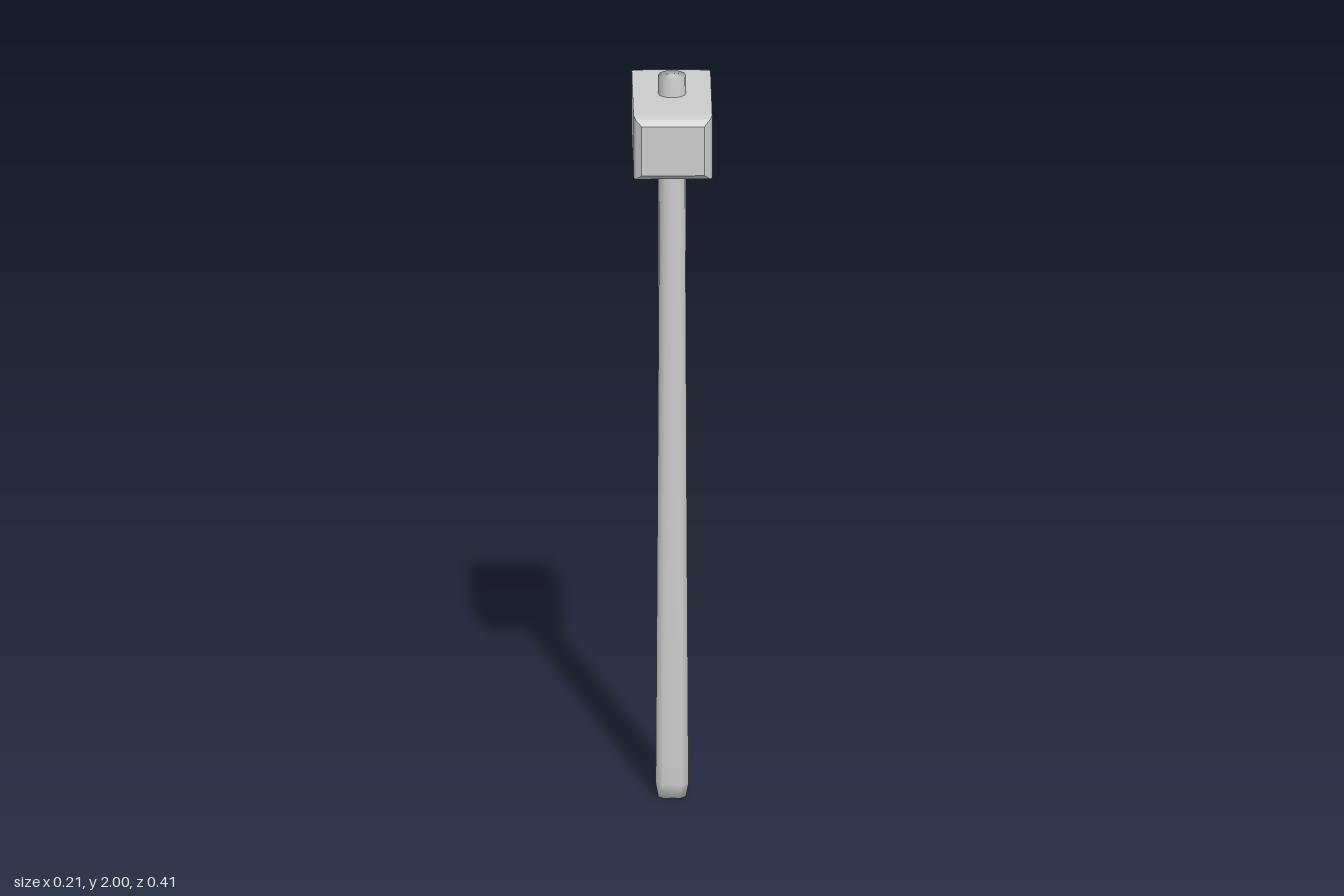
import * as THREE from 'three';
import { mergeVertices } from 'three/addons/utils/BufferGeometryUtils.js';

const grey = new THREE.MeshStandardMaterial({ color: 0xcccccc });
grey.name = 'plain grey';

// Handle: a round bar that swells into a square, lightly grooved grip
function handleGeometry() {
  // rings from top to bottom: height, radius at the flat middles, radius near the corners
  const rings = [
    [2, 0.036, 0.037],
    [1.78, 0.036, 0.038],
    [1.0, 0.037, 0.043],
    [0.12, 0.039, 0.049],
    [0.04, 0.039, 0.05],
    [0, 0.033, 0.042],
  ];
  const geo = new THREE.CylinderGeometry(1, 1, rings.length - 1, 12, rings.length - 1);
  const pos = geo.attributes.position;
  for (let i = 0; i < pos.count; i++) {
    const x = pos.getX(i), z = pos.getZ(i);
    const [y, mid, corner] = rings[Math.round((rings.length - 1) / 2 - pos.getY(i))];
    const r = Math.min(Math.abs(x), Math.abs(z)) < 0.01 ? mid : corner;
    pos.setXYZ(i, x * r, y, z * r);
  }
  geo.deleteAttribute('normal');
  geo.deleteAttribute('uv');
  const smooth = mergeVertices(geo);
  smooth.computeVertexNormals();
  return smooth;
}

// Head: a block whose two striking ends taper in two bevel steps
function headGeometry() {
  // steps from one end to the other: z, half width, half height
  const end = [[0.206, 0.082, 0.068], [0.19, 0.098, 0.083], [0.168, 0.103, 0.0875]];
  const steps = [...end, ...end.slice().reverse().map(([z, w, h]) => [-z, w, h])];
  const geo = new THREE.BoxGeometry(2, 2, 5, 1, 1, 5);
  const pos = geo.attributes.position;
  for (let i = 0; i < pos.count; i++) {
    const [z, w, h] = steps[Math.round(2.5 - pos.getZ(i))];
    pos.setXYZ(i, pos.getX(i) * w, pos.getY(i) * h, z);
  }
  const flat = geo.toNonIndexed();
  flat.computeVertexNormals();
  return flat;
}

export function createModel() {
  const group = new THREE.Group();
  group.name = 'sledgehammer';

  const handle = new THREE.Mesh(handleGeometry(), grey);
  handle.name = 'handle';

  const head = new THREE.Mesh(headGeometry(), grey);
  head.name = 'head';
  head.position.y = 1.8625;

  group.add(handle, head);
  return group;
}
